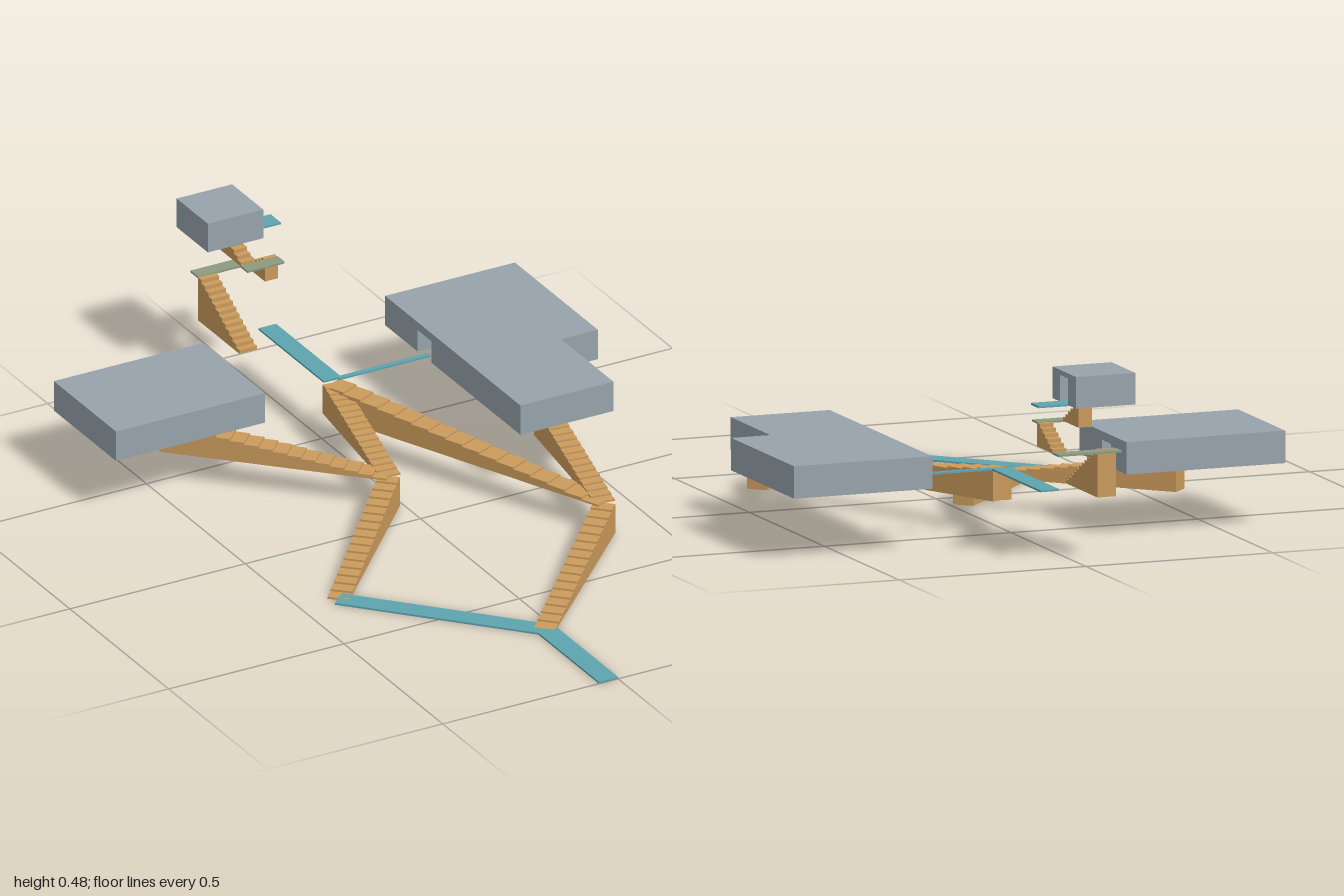
import * as THREE from 'three';

const wood = new THREE.MeshStandardMaterial({ color: 0xca9a5b });
wood.name = 'stair tan';
const teal = new THREE.MeshStandardMaterial({ color: 0x5ea4af });
teal.name = 'path teal';
const olive = new THREE.MeshStandardMaterial({ color: 0x8a9a80 });
olive.name = 'landing olive';
const grey = new THREE.MeshStandardMaterial({ color: 0x96a2aa });
grey.name = 'building grey';

export function createModel() {
  const model = new THREE.Group();
  model.name = 'steppedSite';

  function add(name, geometry, material, parent = model) {
    const mesh = new THREE.Mesh(geometry, material);
    mesh.name = name;
    parent.add(mesh);
    return mesh;
  }

  // Solid staircase rising from a to b ([x, y, z]) on a flat base at a's height
  function stair(name, a, b, steps, width = 0.055) {
    const dx = b[0] - a[0], dz = b[2] - a[2], rise = b[1] - a[1];
    const run = Math.hypot(dx, dz);
    const s = new THREE.Shape();
    s.moveTo(0, 0);
    for (let i = 0; i < steps; i++) {
      const h = rise * (i + 1) / steps;
      s.lineTo(run * i / steps, h);
      s.lineTo(run * (i + 1) / steps, h);
    }
    s.lineTo(run, 0);
    s.closePath();
    const g = new THREE.ExtrudeGeometry(s, { depth: width, bevelEnabled: false });
    g.translate(0, 0, -width / 2);
    const mesh = add(name, g, wood);
    mesh.position.set(...a);
    mesh.rotation.y = Math.atan2(-dz, dx);
  }

  // Thin flat strip from a to b ([x, z]) with its top just above y
  function strip(name, a, b, y, width, material = teal) {
    const dx = b[0] - a[0], dz = b[1] - a[1];
    const mesh = add(name, new THREE.BoxGeometry(Math.hypot(dx, dz), 0.005, width), material);
    mesh.position.set((a[0] + b[0]) / 2, y + 0.0025, (a[1] + b[1]) / 2);
    mesh.rotation.y = Math.atan2(-dz, dx);
  }

  // Prism over a footprint of [x, z] corners
  function prism(points, y, height, hole) {
    const flip = (list) => list.map(([x, z]) => new THREE.Vector2(x, -z));
    const s = new THREE.Shape(flip(points));
    if (hole) s.holes.push(new THREE.Path(flip(hole)));
    const g = new THREE.ExtrudeGeometry(s, { depth: height, bevelEnabled: false });
    g.rotateX(-Math.PI / 2);
    g.translate(0, y, 0);
    return g;
  }

  // Building: lower layer with door recesses, closed upper layer
  function building(name, outline, lower, y, height, doorHeight, hole) {
    const group = new THREE.Group();
    group.name = name;
    add('wallsWithDoor', prism(lower, y, doorHeight, hole), grey, group);
    add('roofBlock', prism(outline, y + doorHeight, height - doorHeight), grey, group);
    model.add(group);
  }

  // Ground paths
  strip('entryPath', [-0.027, 1], [-0.027, 0.68], 0, 0.055);
  strip('groundPath', [-0.03, 0.68], [-0.395, 0.285], 0, 0.055);

  // Lower and upper flights
  stair('lowerLeftStair', [-0.03, 0, 0.68], [0.365, 0.08, 0.285], 16);
  stair('lowerRightStair', [-0.395, 0, 0.285], [-0.03, 0.08, -0.105], 16);
  stair('middleStair', [-0.03, 0.08, -0.1], [0.02, 0.16, -0.48], 16);
  stair('longDiagonalStair', [0.365, 0.08, 0.285], [0.02, 0.16, -0.48], 16);
  stair('leftHouseStair', [0.365, 0.08, 0.285], [0.42, 0.16, -0.12], 16);
  stair('rightHouseStair', [-0.03, 0.08, -0.105], [-0.445, 0.16, -0.52], 16);

  // Upper paths
  strip('upperPath', [0.025, -0.49], [0.025, -0.82], 0.16, 0.05);
  strip('narrowPath', [0.04, -0.49], [0.3, -0.49], 0.16, 0.014);
  strip('doorstep', [-0.25, -0.55], [-0.212, -0.55], 0.16, 0.008);

  // Zigzag climb to the lookout
  stair('zigzagLowerStair', [-0.08, 0.16, -0.73], [-0.08, 0.28, -0.94], 12, 0.05);
  stair('zigzagMiddleStair', [0.047, 0.28, -0.94], [0.047, 0.34, -0.838], 6, 0.037);
  stair('zigzagUpperStair', [-0.022, 0.34, -0.838], [-0.022, 0.4, -0.94], 6, 0.037);
  strip('lowerLanding', [-0.105, -0.959], [0.065, -0.959], 0.277, 0.038, olive);
  strip('upperLanding', [-0.041, -0.821], [0.065, -0.821], 0.337, 0.036, olive);
  strip('lookoutPath', [-0.04, -0.918], [0.104, -0.918], 0.397, 0.052);

  // Left L-shaped house
  building('leftHouse',
    [[0.285, 0], [0.55, 0], [0.55, -0.265], [0.655, -0.265], [0.655, -0.685], [0.285, -0.685]],
    [[0.285, 0], [0.55, 0], [0.55, -0.265], [0.655, -0.265], [0.655, -0.685], [0.285, -0.685],
      [0.285, -0.52], [0.38, -0.52], [0.38, -0.45], [0.285, -0.45]],
    0.162, 0.082, 0.06,
    [[0.37, -0.08], [0.47, -0.08], [0.47, -0.2], [0.37, -0.2]]);

  // Right house
  building('rightHouse',
    [[-0.66, -0.37], [-0.235, -0.37], [-0.235, -0.685], [-0.66, -0.685]],
    [[-0.66, -0.37], [-0.235, -0.37], [-0.235, -0.52], [-0.32, -0.52], [-0.32, -0.58],
      [-0.235, -0.58], [-0.235, -0.685], [-0.66, -0.685]],
    0.162, 0.082, 0.06);

  // Small lookout house
  building('lookoutHouse',
    [[-0.132, -0.842], [0.026, -0.842], [0.026, -1], [-0.132, -1]],
    [[-0.132, -0.842], [0.026, -0.842], [0.026, -0.89], [-0.04, -0.89], [-0.04, -0.946],
      [0.026, -0.946], [0.026, -1], [-0.132, -1]],
    0.4, 0.08, 0.067);

  return model;
}
